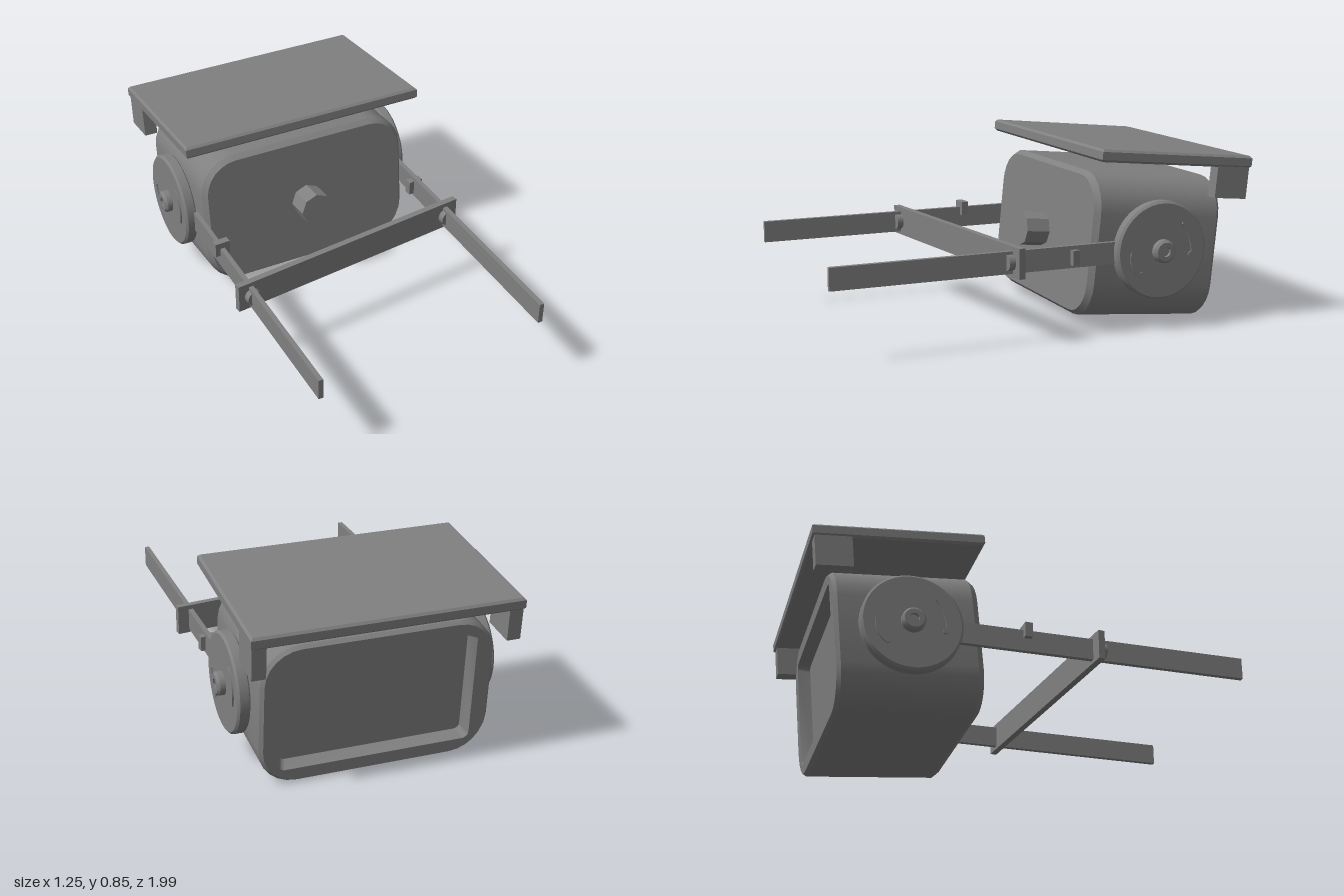
import * as THREE from 'three';
import { toCreasedNormals } from 'three/addons/utils/BufferGeometryUtils.js';

const TILT = -0.096;
const grey = new THREE.MeshStandardMaterial({ color: 0x808080 });
grey.name = 'plain grey';

function add(parent, name, geometry, x = 0, y = 0, z = 0) {
  const mesh = new THREE.Mesh(geometry, grey);
  mesh.name = name;
  mesh.position.set(x, y, z);
  parent.add(mesh);
  return mesh;
}

// Counter-clockwise rounded rectangle, seen from +z
function ring([hw, hh, r, z], steps = 6) {
  const points = [];
  [[1, 1], [-1, 1], [-1, -1], [1, -1]].forEach(([sx, sy], corner) => {
    for (let i = 0; i <= steps; i++) {
      const a = (corner + i / steps) * Math.PI / 2;
      points.push([sx * (hw - r) + r * Math.cos(a), sy * (hh - r) + r * Math.sin(a), z]);
    }
  });
  return points;
}

// Skin through rings listed from front to back, capped at both ends
function loft(sections) {
  const rings = sections.map((s) => ring(s));
  const n = rings[0].length;
  const points = rings.flat();
  const index = [];
  for (let k = 0; k < rings.length - 1; k++) {
    for (let i = 0; i < n; i++) {
      const a = k * n + i, b = k * n + (i + 1) % n;
      index.push(a, a + n, b, b, a + n, b + n);
    }
  }
  const front = points.push([0, 0, sections[0][3]]) - 1;
  const back = points.push([0, 0, sections[sections.length - 1][3]]) - 1;
  const last = (rings.length - 1) * n;
  for (let i = 0; i < n; i++) {
    const j = (i + 1) % n;
    index.push(front, i, j, back, last + j, last + i);
  }
  const geometry = new THREE.BufferGeometry();
  geometry.setAttribute('position', new THREE.Float32BufferAttribute(points.flat(), 3));
  geometry.setIndex(index);
  return toCreasedNormals(geometry, 0.5);
}

// Turned part whose axis lies along +x; profile pairs are [radius, x]
function turned(profile, segments = 40) {
  const geometry = new THREE.LatheGeometry(profile.map((p) => new THREE.Vector2(...p)), segments);
  geometry.rotateZ(-Math.PI / 2);
  return toCreasedNormals(geometry, 0.5);
}

// Thin tapered arc lying on a disc that faces +x, angles in degrees
function arcMark(from, to) {
  const outer = [], inner = [];
  for (let i = 0; i <= 12; i++) {
    const t = i / 12, a = THREE.MathUtils.degToRad(from + (to - from) * t);
    const half = 0.005 + 0.008 * Math.sin(Math.PI * t);
    outer.push(new THREE.Vector2(Math.cos(a), Math.sin(a)).multiplyScalar(0.155 + half));
    inner.unshift(new THREE.Vector2(Math.cos(a), Math.sin(a)).multiplyScalar(0.155 - half));
  }
  const geometry = new THREE.ExtrudeGeometry(new THREE.Shape([...outer, ...inner]), { depth: 0.008, bevelEnabled: false });
  return geometry.rotateY(Math.PI / 2);
}

function createPivot() {
  const pivot = new THREE.Group();
  add(pivot, 'pivotDisc', turned([[0, 0.5], [0.19, 0.5], [0.19, 0.535], [0.22, 0.535], [0.225, 0.54],
    [0.225, 0.58], [0.215, 0.59], [0, 0.59]], 48));
  add(pivot, 'pivotKnob', turned([[0.053, 0.585], [0.053, 0.615], [0.043, 0.626], [0.022, 0.626], [0.022, 0.61], [0, 0.61]], 28));
  for (const [from, to, dot] of [[50, -13, -11], [228, 178, 224]]) {
    add(pivot, 'arcMark', arcMark(from, to), 0.589);
    const a = THREE.MathUtils.degToRad(dot);
    const button = new THREE.CylinderGeometry(0.014, 0.014, 0.008, 14).rotateZ(Math.PI / 2);
    add(pivot, 'arcDot', button, 0.593, 0.148 * Math.sin(a), -0.148 * Math.cos(a));
  }
  return pivot;
}

// Box with chamfered edges all round
function chamferBox(w, h, d, c) {
  const shape = new THREE.Shape();
  const x = w / 2 - c, z = d / 2 - c;
  shape.moveTo(-x, -z).lineTo(x, -z).lineTo(x, z).lineTo(-x, z).closePath();
  const geometry = new THREE.ExtrudeGeometry(shape, {
    depth: h - 2 * c, bevelEnabled: true, bevelThickness: c, bevelSize: c, bevelSegments: 1,
  });
  return geometry.translate(0, 0, -h / 2 + c).rotateX(-Math.PI / 2);
}

export function createModel() {
  const model = new THREE.Group();
  model.name = 'tiltingHousing';

  // Tilted housing with a recessed back panel and a faceted front knob
  const housing = new THREE.Group();
  housing.name = 'housing';
  housing.position.set(0, 0.3625, -0.54);
  housing.rotation.x = TILT;
  model.add(housing);
  add(housing, 'body', loft([
    [0.505, 0.313, 0.155, 0.322],
    [0.525, 0.333, 0.175, 0.295],
    [0.525, 0.333, 0.175, -0.305],
    [0.51, 0.32, 0.16, -0.322],
    [0.44, 0.262, 0.03, -0.322],
    [0.42, 0.245, 0.025, -0.265],
  ]));
  const knob = new THREE.CylinderGeometry(0.08, 0.08, 0.137, 8).toNonIndexed();
  knob.rotateX(Math.PI / 2);
  add(housing, 'frontKnob', toCreasedNormals(knob, 0.5), 0, 0, 0.368);

  // Tilted roof plate on two rear brackets
  const roof = new THREE.Group();
  roof.name = 'roof';
  roof.position.set(0, 0.787, -0.61);
  roof.rotation.x = TILT;
  model.add(roof);
  add(roof, 'roofPlate', chamferBox(1.2, 0.056, 0.768, 0.01));
  for (const s of [1, -1]) {
    add(roof, 'roofBracket', new THREE.BoxGeometry(0.062, 0.15, 0.165), s * 0.563, -0.095, -0.293);
  }

  // Pivots turned half round from side to side, with long flat arms
  for (const s of [1, -1]) {
    const pivot = createPivot();
    pivot.name = s > 0 ? 'leftPivot' : 'rightPivot';
    pivot.position.set(0, 0.375, -0.54);
    pivot.rotation.y = s > 0 ? 0 : Math.PI;
    model.add(pivot);
    add(model, s > 0 ? 'leftArm' : 'rightArm', new THREE.BoxGeometry(0.022, 0.1, 1.4), s * 0.538, 0.375, 0.3);
  }

  // Small clips on the arms
  const clip = new THREE.BoxGeometry(0.072, 0.068, 0.034);
  add(model, 'leftClip', clip, 0.536, 0.373, -0.117).rotation.y = 0.09;
  add(model, 'rightClip', clip, -0.537, 0.42, -0.02).rotation.y = 0.05;

  // Slanted crossbar with a round fastener at each arm
  const crossbar = new THREE.Group();
  crossbar.name = 'crossbar';
  crossbar.position.set(0, 0.377, 0.23);
  crossbar.rotation.y = 0.125;
  model.add(crossbar);
  add(crossbar, 'bar', new THREE.BoxGeometry(1.215, 0.136, 0.03));
  for (const s of [1, -1]) {
    const fastener = new THREE.CylinderGeometry(0.037, 0.037, 0.04, 24).rotateX(Math.PI / 2);
    add(crossbar, 'fastener', fastener, s * 0.541, -0.002, 0.025);
  }
  return model;
}
